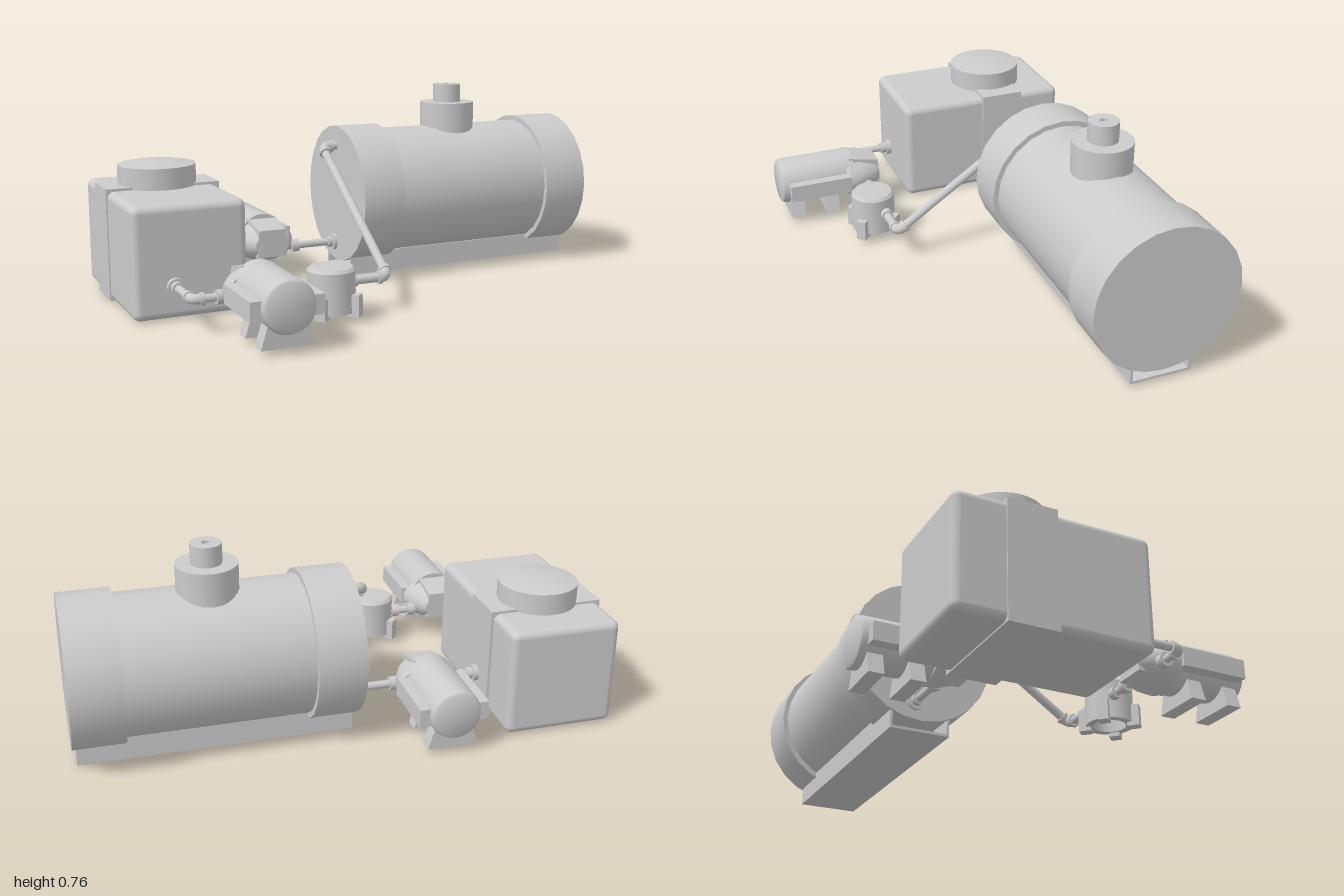
import * as THREE from 'three';
import { toCreasedNormals } from 'three/addons/utils/BufferGeometryUtils.js';
import { RoundedBoxGeometry } from 'three/addons/geometries/RoundedBoxGeometry.js';

const grey = new THREE.MeshStandardMaterial({ color: 0xcccccc, side: THREE.DoubleSide });
const V = (x, y, z) => new THREE.Vector3(x, y, z);
const UP = V(0, 1, 0);

function add(parent, name, geometry, x = 0, y = 0, z = 0) {
  const mesh = new THREE.Mesh(geometry, grey);
  mesh.name = name;
  mesh.position.set(x, y, z);
  parent.add(mesh);
  return mesh;
}

// Box given by its minimum and maximum corners
function box(parent, name, [x0, y0, z0], [x1, y1, z1]) {
  return add(parent, name, new THREE.BoxGeometry(x1 - x0, y1 - y0, z1 - z0),
    (x0 + x1) / 2, (y0 + y1) / 2, (z0 + z1) / 2);
}

function lathe(points, segments = 24) {
  const geometry = new THREE.LatheGeometry(points.map(p => new THREE.Vector2(...p)), segments);
  return toCreasedNormals(geometry, 0.6);
}

// Cylinder between two points
function rod(parent, name, a, b, radius, segments = 16) {
  const mesh = add(parent, name, new THREE.CylinderGeometry(radius, radius, a.distanceTo(b), segments));
  mesh.position.copy(a).add(b).multiplyScalar(0.5);
  mesh.quaternion.setFromUnitVectors(UP, b.clone().sub(a).normalize());
}

// Collar centred on a point, lying along a direction
function collar(parent, p, dir, radius, length) {
  const h = dir.clone().normalize().multiplyScalar(length / 2);
  rod(parent, 'pipeCollar', p.clone().sub(h), p.clone().add(h), radius);
}

// Pipe run through points, with bent elbows and collars at the corners
function pipe(parent, name, points, radius = 0.015) {
  const bend = 0.035;
  let start = points[0];
  for (let i = 1; i < points.length; i++) {
    const p = points[i];
    const dIn = p.clone().sub(points[i - 1]).normalize();
    if (i === points.length - 1) {
      rod(parent, name, start, p, radius);
      break;
    }
    const dOut = points[i + 1].clone().sub(p).normalize();
    const a = p.clone().addScaledVector(dIn, -bend);
    const b = p.clone().addScaledVector(dOut, bend);
    rod(parent, name, start, a, radius);
    const curve = new THREE.QuadraticBezierCurve3(a, p, b);
    add(parent, 'pipeElbow', new THREE.TubeGeometry(curve, 8, radius + 0.004, 12));
    collar(parent, a, dIn, radius + 0.008, 0.014);
    collar(parent, b, dOut, radius + 0.008, 0.014);
    start = b;
  }
}

function createLargeTank() {
  const g = new THREE.Group();
  g.name = 'largeTank';
  const y = 0.333, z = -0.285, R = 0.28, r = 0.26;
  // Body with thicker end bands
  const shell = add(g, 'tankShell', lathe([
    [0, -0.04], [R, -0.04], [R, 0.14], [r, 0.14], [r, 0.81], [R, 0.81], [R, 1], [0, 1],
  ]), 0, y, z);
  shell.rotation.z = -Math.PI / 2;
  // Manhole neck with vent
  add(g, 'manhole', lathe([
    [0.113, 0.5], [0.113, 0.69], [0.057, 0.69], [0.057, 0.765], [0.015, 0.765], [0.015, 0.755], [0, 0.755],
  ]), 0.475, 0, z);
  // Channel cradle
  const w = 0.118;
  box(g, 'cradleFloor', [-0.03, 0.012, z - w], [0.985, 0.022, z + w]);
  for (const s of [-1, 1]) {
    const edge = z + s * w, inner = edge - s * 0.01;
    box(g, 'cradleWall', [-0.03, 0.012, Math.min(edge, inner)], [0.985, 0.1, Math.max(edge, inner)]);
  }
  return g;
}

function createSquareTank() {
  const g = new THREE.Group();
  g.name = 'squareTank';
  add(g, 'tankBody', new RoundedBoxGeometry(0.425, 0.415, 0.71, 3, 0.028), -0.783, 0.2125, -0.245);
  box(g, 'middleBand', [-1, 0, -0.42], [-0.56, 0.43, -0.24]);
  add(g, 'lid', lathe([
    [0.15, 0.4], [0.15, 0.502], [0.1, 0.512], [0.05, 0.517], [0, 0.519],
  ], 32), -0.78, 0, -0.33);
  return g;
}

// Pump with the pipe line at local z = 0 and the motor towards +z
function createPump() {
  const g = new THREE.Group();
  g.name = 'pump';
  const y = 0.163;
  const motor = add(g, 'motor', lathe([
    [0, 0.05], [0.095, 0.05], [0.095, 0.345], [0.09, 0.358], [0.08, 0.364], [0, 0.365],
  ]), 0, y, 0);
  motor.rotation.x = Math.PI / 2;
  box(g, 'sideHousing', [-0.131, 0.12, 0.075], [0.131, 0.19, 0.335]);
  // Flattened, tapering pump head
  const head = add(g, 'pumpHead', lathe([
    [0, -0.065], [0.07, -0.065], [0.09, -0.04], [0.118, 0.02], [0.124, 0.075], [0.118, 0.085], [0, 0.085],
  ]), 0, 0.15, 0);
  head.rotation.x = Math.PI / 2;
  head.scale.z = 0.68;
  // Tapered cap on the head
  const cap = new THREE.BoxGeometry(0.125, 0.14, 0.13);
  const p = cap.attributes.position;
  for (let i = 0; i < p.count; i++) {
    if (p.getZ(i) < 0 && p.getY(i) > 0) p.setXYZ(i, p.getX(i) * 0.88, 0.04, p.getZ(i));
  }
  cap.computeVertexNormals();
  add(g, 'headCap', cap, 0, 0.172, 0);
  // Splayed feet
  const foot = new THREE.Shape();
  foot.moveTo(-0.095, 0.022);
  foot.lineTo(0.095, 0.022);
  foot.lineTo(0.07, 0.105);
  foot.lineTo(-0.07, 0.105);
  for (const z of [0.125, 0.275]) {
    add(g, 'motorFoot', new THREE.ExtrudeGeometry(foot, { depth: 0.057, bevelEnabled: false }), 0, 0, z);
  }
  // Port collars
  for (const s of [-1, 1]) collar(g, V(s * 0.12, 0.125, 0), V(1, 0, 0), 0.026, 0.03);
  return g;
}

function createFilter() {
  const g = new THREE.Group();
  g.name = 'filter';
  // Pot open underneath
  add(g, 'filterPot', lathe([
    [0, 0.09], [0.06, 0.09], [0.06, 0.035], [0.088, 0.035], [0.088, 0.185], [0.078, 0.196], [0, 0.198],
  ]));
  for (let i = 0; i < 4; i++) {
    const a = Math.PI / 4 + i * Math.PI / 2;
    const foot = add(g, 'filterFoot', new THREE.BoxGeometry(0.045, 0.082, 0.04),
      Math.cos(a) * 0.09, 0.061, Math.sin(a) * 0.09);
    foot.rotation.y = -a;
  }
  for (const s of [-1, 1]) collar(g, V(s * 0.095, 0.125, -0.03), V(1, 0, 0), 0.024, 0.03);
  return g;
}

export function createModel() {
  const model = new THREE.Group();
  model.name = 'pumpStation';
  model.add(createLargeTank(), createSquareTank());

  const frontPump = createPump();
  frontPump.position.set(-0.625, 0, 0.31);
  const backPump = createPump();
  backPump.position.set(-0.34, 0, -0.31);
  backPump.rotation.y = Math.PI;
  const filter = createFilter();
  filter.position.set(-0.34, 0, 0.34);
  model.add(frontPump, backPump, filter);

  // Pipework
  const pipes = new THREE.Group();
  pipes.name = 'pipework';
  model.add(pipes);
  const y = 0.125, X = V(1, 0, 0), Z = V(0, 0, 1);
  pipe(pipes, 'backPipe', [V(-0.58, y, -0.31), V(-0.03, y, -0.31)]);
  pipe(pipes, 'suctionPipe', [V(-0.845, y, 0.09), V(-0.845, y, 0.31), V(-0.7, y, 0.31)]);
  pipe(pipes, 'linkPipe', [V(-0.55, y, 0.31), V(-0.4, y, 0.31)]);
  pipe(pipes, 'risingPipe', [V(-0.28, y, 0.31), V(-0.1, y, 0.31), V(-0.1, 0.53, -0.29), V(-0.03, 0.53, -0.29)], 0.017);
  collar(pipes, V(-0.55, y, -0.31), X, 0.032, 0.02);
  collar(pipes, V(-0.53, y, -0.31), X, 0.023, 0.03);
  collar(pipes, V(-0.045, y, -0.31), X, 0.034, 0.016);
  collar(pipes, V(-0.06, y, -0.31), X, 0.022, 0.03);
  collar(pipes, V(-0.845, y, 0.12), Z, 0.032, 0.02);
  collar(pipes, V(-0.845, y, 0.14), Z, 0.023, 0.03);
  return model;
}
